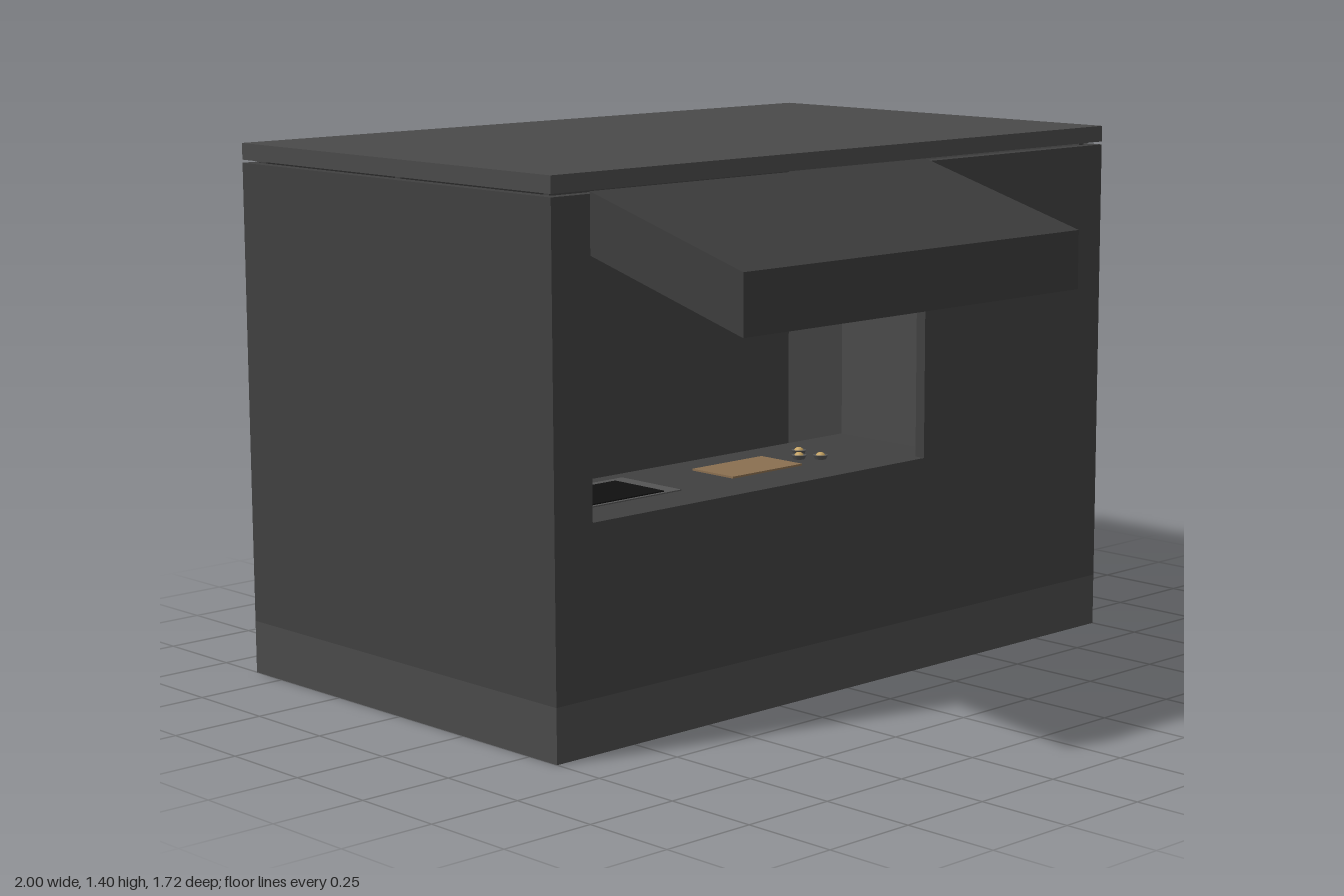
import * as THREE from 'three';

const T = 0.03; // wall thickness
const X = 1, ZF = 0.35, ZB = -0.86, BASE = 0.14, TOP = 1.352;
const ZC = (ZF + ZB) / 2;

const mat = (color) => new THREE.MeshStandardMaterial({ color, side: THREE.DoubleSide });

export function createModel() {
  const group = new THREE.Group();
  const wallMat = mat(0x404040), trimMat = mat(0x4a4a4a), awningMat = mat(0x3c3c3c);
  const black = mat(0x101010), steel = mat(0x555555), fridgeMat = mat(0x302f36);
  const wood = mat(0x8a6f50), brass = mat(0xc2a060);

  function add(name, geometry, material, x = 0, y = 0, z = 0) {
    const mesh = new THREE.Mesh(geometry, material);
    mesh.name = name;
    mesh.position.set(x, y, z);
    group.add(mesh);
    return mesh;
  }
  // Box given by its limits on each axis
  function block(name, material, x0, x1, y0, y1, z0, z1) {
    return add(name, new THREE.BoxGeometry(x1 - x0, y1 - y0, z1 - z0), material,
      (x0 + x1) / 2, (y0 + y1) / 2, (z0 + z1) / 2);
  }
  function rect(path, x0, x1, y0, y1) {
    path.moveTo(x0, y0);
    path.lineTo(x1, y0);
    path.lineTo(x1, y1);
    path.lineTo(x0, y1);
    path.closePath();
    return path;
  }
  // Wall panel with one rectangular opening
  function wallWithOpening(x0, x1, opening) {
    const shape = rect(new THREE.Shape(), x0, x1, BASE, TOP);
    shape.holes.push(rect(new THREE.Path(), ...opening));
    return new THREE.ExtrudeGeometry(shape, { depth: T, bevelEnabled: false });
  }

  // Shell
  block('base', trimMat, -X, X, 0, BASE, ZB, ZF);
  block('roof', trimMat, -X, X, 1.36, 1.403, ZB, ZF);
  block('backWall', wallMat, -X, X, BASE, TOP, ZB, ZB + T);
  block('leftSideWall', wallMat, -X, -X + T, BASE, TOP, ZB + T, ZF - T);
  add('frontWall', wallWithOpening(-X, X, [-0.88, 0.285, 0.57, 1.345]), wallMat, 0, 0, ZF - T);
  const doorWall = add('doorWall', wallWithOpening(-ZF + T, -ZB - T, [0.14, 0.605, BASE + 0.001, 0.965]),
    wallMat, X - T, 0, 0);
  doorWall.rotation.y = Math.PI / 2;
  block('door', trimMat, X - T, X - 0.022, BASE, 0.965, -0.605, -0.14);
  for (const sx of [-1, 1]) for (const z of [ZB + 0.05, ZC, ZF - 0.05])
    block('roofSupport', wallMat, sx * 0.96 - 0.01, sx * 0.96 + 0.01, 1.34, 1.362, z - 0.01, z + 0.01);

  // Sloping awning: a side profile extruded along the serving window
  const profile = new THREE.Shape([[0.35, 1.358], [0.35, 1.207], [0.86, 1.067], [0.86, 1.215]]
    .map(([z, y]) => new THREE.Vector2(-z, y)));
  const awning = add('awning',
    new THREE.ExtrudeGeometry(profile, { depth: 1.165, bevelEnabled: false }), awningMat, -0.88, 0, 0);
  awning.rotation.y = Math.PI / 2;

  // Serving counter
  block('counterTop', wallMat, -0.97, 0.4, 0.54, 0.568, -0.06, ZF - T);
  block('counterCabinet', wallMat, -0.97, 0.36, BASE, 0.54, -0.02, ZF - T);
  block('cooktopFrame', steel, -0.8, -0.46, 0.56, 0.571, -0.01, 0.21);
  block('cooktop', black, -0.75, -0.51, 0.565, 0.574, 0.02, 0.2);
  block('cuttingBoard', wood, -0.26, -0.01, 0.562, 0.573, 0.04, 0.19);
  for (const [x, z] of [[0.05, 0.12], [0.09, 0.16], [0.1, 0.07]]) {
    add('bowl', new THREE.CylinderGeometry(0.02, 0.014, 0.012, 12), steel, x, 0.573, z);
    add('bowlFilling', new THREE.SphereGeometry(0.014, 12, 8), brass, x, 0.573, z);
  }

  // Fridge against the back
  block('fridge', fridgeMat, -0.865, -0.52, BASE, 0.86, -0.74, -0.37);
  block('fridgeHandle', black, -0.52, -0.508, 0.815, 0.85, -0.42, -0.4);
  block('fridgeSideTrim', black, -0.52, -0.512, BASE, 0.8, -0.7, -0.4);

  return group;
}
